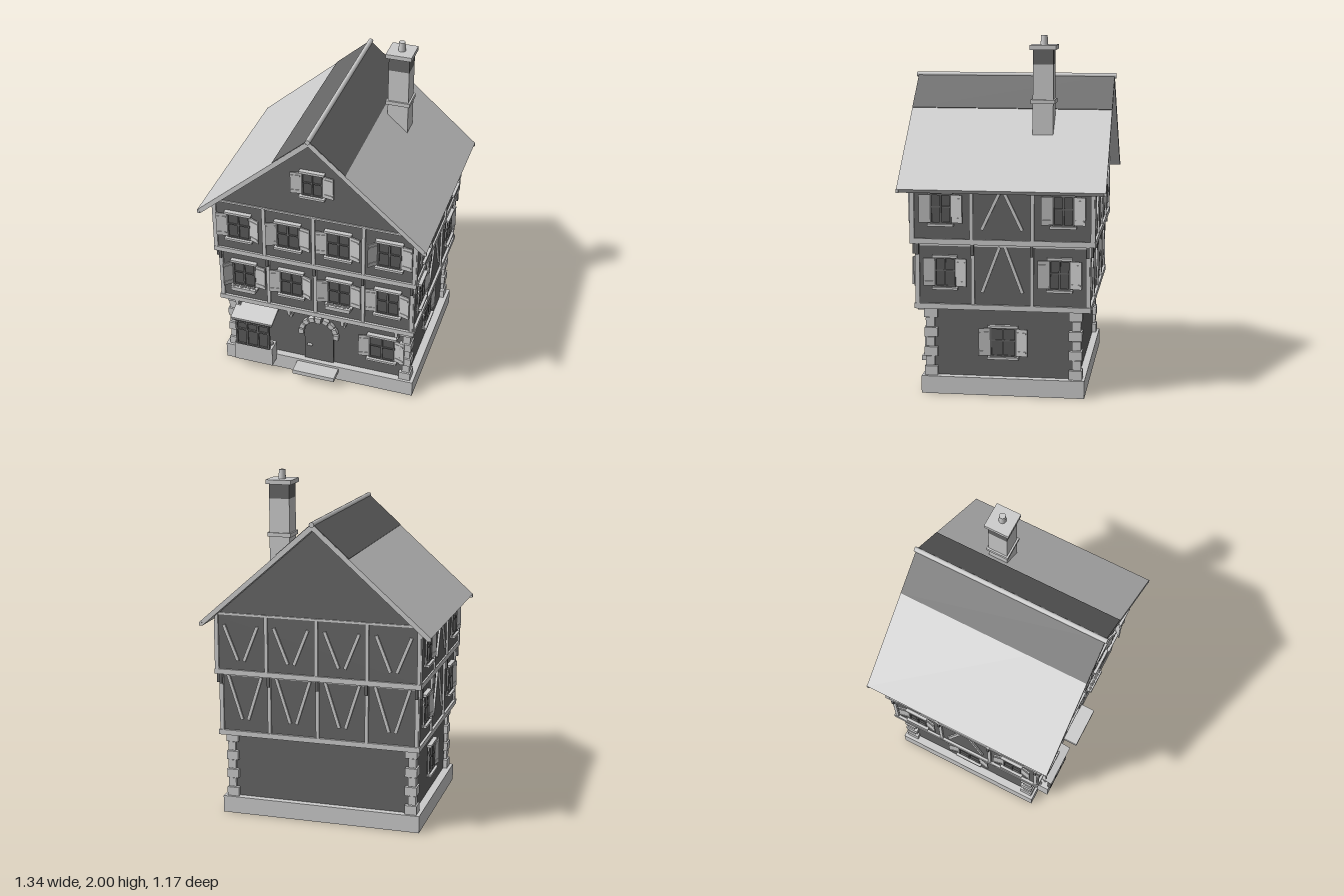
import * as THREE from 'three';

const mat = (name, color, side = THREE.FrontSide) => {
  const m = new THREE.MeshStandardMaterial({ color, side });
  m.name = name;
  return m;
};

export function createModel() {
  const light = mat('pale stone and timber', 0xcccccc);
  const dark = mat('dark plaster', 0x666666);
  const glass = mat('window glass', 0x595959);
  const house = new THREE.Group();
  house.name = 'timberFramedHouse';

  const add = (parent, name, geo, m, x = 0, y = 0, z = 0) => {
    const mesh = new THREE.Mesh(geo, m);
    mesh.name = name;
    mesh.position.set(x, y, z);
    parent.add(mesh);
    return mesh;
  };
  const box = (parent, name, m, w, h, d, x, y, z) =>
    add(parent, name, new THREE.BoxGeometry(w, h, d), m, x, y, z);
  // Box given by its bottom and top height
  const block = (name, m, w, d, y0, y1, x = 0, z = 0) =>
    box(house, name, m, w, y1 - y0, d, x, (y0 + y1) / 2, z);
  const extrude = (name, m, pts, depth) => add(house, name, new THREE.ExtrudeGeometry(
    new THREE.Shape(pts.map(p => new THREE.Vector2(...p))), { depth, bevelEnabled: false }), m, 0, 0, -depth / 2);
  // Group whose local z = 0 is an outer wall face
  const facade = (name, angle, dist) => {
    const g = new THREE.Group();
    g.name = name;
    g.rotation.y = angle;
    g.position.set(Math.sin(angle) * dist, 0, Math.cos(angle) * dist);
    house.add(g);
    return g;
  };

  // Window with frame, glazing bars, sill, lintel and two open shutters
  const windowUnit = (parent, x, y, o = {}) => {
    const { w = 0.14, h = 0.17, a = 0.2, b = 0.2, flowers = false } = o;
    const g = new THREE.Group();
    g.name = 'window';
    g.position.set(x, y, 0);
    parent.add(g);
    box(g, 'glass', glass, w, h, 0.008, 0, 0, 0.002);
    for (const s of [-1, 1]) {
      box(g, 'frameSide', dark, 0.01, h, 0.014, s * (w / 2 - 0.005), 0, 0.007);
      box(g, 'frameRail', dark, w, 0.01, 0.014, 0, s * (h / 2 - 0.005), 0.007);
      const hinge = new THREE.Group();
      hinge.name = 'shutter';
      hinge.position.set(s * w / 2, 0, 0.008);
      hinge.rotation.y = -s * (s < 0 ? a : b);
      g.add(hinge);
      box(hinge, 'shutterPanel', light, 0.062, h - 0.015, 0.008, s * 0.032, 0, 0);
      for (const t of [-1, 1])
        box(hinge, 'shutterBatten', light, 0.05, 0.01, 0.004, s * 0.032, t * h * 0.32, 0.005);
    }
    box(g, 'mullion', dark, 0.01, h, 0.014, 0, 0, 0.008);
    box(g, 'crossBar', dark, w, 0.008, 0.012, 0, 0.01, 0.007);
    box(g, 'lintel', light, w + 0.02, 0.014, 0.026, 0, h / 2 + 0.005, 0.013);
    box(g, 'sill', light, w + 0.025, 0.014, 0.03, 0, -h / 2 - 0.005, 0.015);
    if (flowers) {
      box(g, 'flowerBox', light, w + 0.01, 0.025, 0.035, 0, -h / 2 - 0.012, 0.028);
      for (let i = 0; i < 6; i++)
        add(g, 'flower', new THREE.IcosahedronGeometry(0.01, 0), light,
          -w / 2 + 0.01 + i * (w - 0.02) / 5, -h / 2 + 0.005 + (i % 2) * 0.006, 0.03);
    }
  };

  // Slanted timber between two points on a facade
  const brace = (parent, x0, y0, x1, y1) => {
    const len = Math.hypot(x1 - x0, y1 - y0);
    box(parent, 'brace', light, 0.018, len, 0.014, (x0 + x1) / 2, (y0 + y1) / 2, 0.004)
      .rotation.z = Math.atan2(x0 - x1, y1 - y0);
  };

  // Plinth, walls and jetty beams
  block('plinth', light, 1.18, 0.92, 0, 0.1);
  block('groundFloorWall', dark, 1.09, 0.84, 0.1, 0.49);
  block('lowerJettyBeam', light, 1.19, 0.99, 0.49, 0.52);
  block('middleStoreyWall', dark, 1.16, 0.96, 0.52, 0.86);
  block('upperJettyBeam', light, 1.21, 1.035, 0.86, 0.89);
  extrude('upperStoreyAndGable', dark,
    [[-0.595, 0.89], [0.595, 0.89], [0.595, 1.2], [0, 1.725], [-0.595, 1.2]], 1.01);

  // Corner quoins
  for (const sx of [-1, 1]) for (const sz of [-1, 1]) for (let i = 0; i < 7; i++) {
    const k = i % 2, w = k ? 0.045 : 0.07, d = k ? 0.05 : 0.075, out = k ? 0 : 0.007;
    block('quoin', light, w, d, 0.1 + i * 0.0557, 0.152 + i * 0.0557,
      sx * (0.563 + out - w / 2), sz * (0.438 + out - d / 2));
  }

  // Timber frames and windows of the two jettied storeys
  const storeys = [
    { name: 'middleStorey', y0: 0.52, y1: 0.86, hx: 0.58, hz: 0.48, wy: 0.7, side: 0.32, post: 0.165, b0: 0.59, b1: 0.85 },
    { name: 'upperStorey', y0: 0.89, y1: 1.22, hx: 0.595, hz: 0.505, wy: 1.06, side: 0.34, post: 0.17, b0: 0.945, b1: 1.15 },
  ];
  storeys.forEach((s, n) => {
    const middle = n === 0;
    const post = (g, x, top) => {
      box(g, 'post', light, 0.02, top - s.y0, 0.02, x, (top + s.y0) / 2, 0.001);
      if (middle) box(g, 'jettyBracket', dark, 0.016, 0.06, 0.03, x, 0.83, 0.01);
    };
    const front = facade(s.name + 'Front', 0, s.hz);
    const back = facade(s.name + 'Back', Math.PI, s.hz);
    for (const g of [front, back]) {
      for (let i = -2; i <= 2; i++) post(g, i * (s.hx - 0.005) / 2, s.y1);
      box(g, 'topRail', light, s.hx * 2, 0.012, 0.014, 0, s.y1 - 0.006, 0);
    }
    for (let i = 0; i < 4; i++) {
      const x = (i - 1.5) * s.hx / 2;
      windowUnit(front, x, s.wy, {
        a: [0.75, 0.2, 0.35, 0.15][(i + n) % 4], b: [0.15, 0.4, 0.2, 0.3][(i + n) % 4],
        flowers: middle && i % 2 === 0,
      });
      for (const t of [-1, 1]) brace(back, x + t * 0.018, s.b0, x + t * 0.1, s.b1);
    }
    for (const t of [-1, 1]) {
      const g = facade(s.name + (t > 0 ? 'Left' : 'Right'), t * Math.PI / 2, s.hx);
      const top = middle ? 0.86 : 1.17;
      for (const x of [-s.hz + 0.005, -s.post, s.post, s.hz - 0.005]) post(g, x, top);
      box(g, 'topRail', light, s.hz * 2, 0.012, 0.014, 0, top - 0.006, 0);
      for (const k of [-1, 1]) {
        windowUnit(g, k * s.side, s.wy, { w: 0.12 });
        brace(g, k * 0.113, s.b0, k * 0.015, s.b1);
      }
      if (middle) windowUnit(facade('groundFloorSide', t * Math.PI / 2, 0.545), 0, 0.3, { w: 0.15 });
    }
  });
  windowUnit(facade('gableFront', 0, 0.505), 0, 1.44, { w: 0.125, h: 0.15, a: 0.15, b: 0.15 });

  // Ground floor front
  const ground = facade('groundFloorFront', 0, 0.42);
  windowUnit(ground, 0.39, 0.295, { w: 0.16, b: 0.3 });
  for (const x of [-0.49, -0.165, 0.165, 0.49]) {
    box(ground, 'corbel', light, 0.018, 0.03, 0.075, x, 0.475, 0.037);
    box(ground, 'corbelFoot', light, 0.014, 0.045, 0.04, x, 0.44, 0.02);
  }

  // Arched door with stone surround, handle and step
  const doorShape = new THREE.Shape();
  doorShape.moveTo(-0.09, 0.1);
  doorShape.lineTo(0.09, 0.1);
  doorShape.lineTo(0.09, 0.31);
  doorShape.absarc(0, 0.31, 0.09, 0, Math.PI, false);
  add(ground, 'door', new THREE.ExtrudeGeometry(doorShape, { depth: 0.012, bevelEnabled: false }), dark);
  for (let i = 0; i < 9; i++) {
    const c = Math.PI * i / 8, half = 0.155, r = i === 4 ? 0.132 : 0.124;
    const st = new THREE.Shape();
    st.absarc(0, 0, r, c - half, c + half, false);
    st.absarc(0, 0, 0.094, c + half, c - half, true);
    add(ground, 'archStone', new THREE.ExtrudeGeometry(st,
      { depth: i === 4 ? 0.035 : 0.025, bevelEnabled: false, curveSegments: 2 }), light, 0, 0.31, 0);
  }
  box(ground, 'doorHandle', light, 0.03, 0.008, 0.02, -0.055, 0.215, 0.02);
  block('doorStep', light, 0.26, 0.11, 0.058, 0.085, 0, 0.495);

  // Shop window, awning and planter
  const shop = new THREE.Group();
  shop.name = 'shopWindow';
  shop.position.set(-0.383, 0.285, 0);
  house.add(shop);
  box(shop, 'shopGlass', glass, 0.21, 0.18, 0.008, 0, 0, 0.527);
  for (const x of [-0.1, -0.034, 0.034, 0.1]) box(shop, 'shopMullion', dark, 0.011, 0.18, 0.022, x, 0, 0.53);
  for (const y of [-0.085, 0.03, 0.085]) box(shop, 'shopRail', dark, 0.21, 0.01, 0.02, 0, y, 0.53);
  box(shop, 'awning', light, 0.26, 0.012, 0.125, 0, 0.13, 0.49).rotation.x = 0.27;
  box(shop, 'awningEdge', dark, 0.25, 0.02, 0.008, 0, 0.108, 0.543);
  block('planter', light, 0.24, 0.08, 0.065, 0.195, -0.385, 0.49);
  for (let i = 0; i < 8; i++)
    add(house, 'planterFlower', new THREE.IcosahedronGeometry(0.013, 0), light,
      -0.49 + i * 0.03, 0.2 + (i % 2) * 0.006, 0.49 + (i % 3 - 1) * 0.02);

  // Roof slopes with dark upper tiles and a ridge cap
  const slopeY = x => 1.76 - 0.88 * x;
  const slab = (name, m, s, x0, x1, up, down, depth) => {
    const nx = 0.66, ny = 0.75;
    const p = (x, o) => [s * (x + nx * o), slopeY(x) + ny * o];
    extrude(name, m, [p(x0, down), p(x1, down), p(x1, up), p(x0, up)], depth);
  };
  for (const s of [-1, 1]) {
    slab('roofSlope', light, s, 0, 0.668, 0, -0.027, 1.15);
    slab('upperRoofTiles', dark, s, 0, 0.206, 0.004, 0, 1.148);
    for (const z of [-1, 1])
      box(house, 'eaveEnd', light, 0.016, 0.02, 0.014, s * 0.66, 1.163, z * 0.57);
  }
  add(house, 'ridgeCap', new THREE.CylinderGeometry(0.015, 0.015, 1.17, 8).rotateX(Math.PI / 2), light, 0, 1.757, 0);

  // Chimney
  const cx = 0.295, cz = -0.198;
  block('chimneyShaft', light, 0.12, 0.115, 1.44, 1.84, cx, cz);
  block('chimneyCollar', light, 0.14, 0.135, 1.622, 1.645, cx, cz);
  block('chimneyTop', dark, 0.12, 0.115, 1.84, 1.922, cx, cz);
  block('chimneyCap', light, 0.15, 0.147, 1.922, 1.947, cx, cz);
  add(house, 'chimneyPot', new THREE.CylinderGeometry(0.018, 0.022, 0.053, 12), light, cx, 1.9735, cz);

  return house;
}
